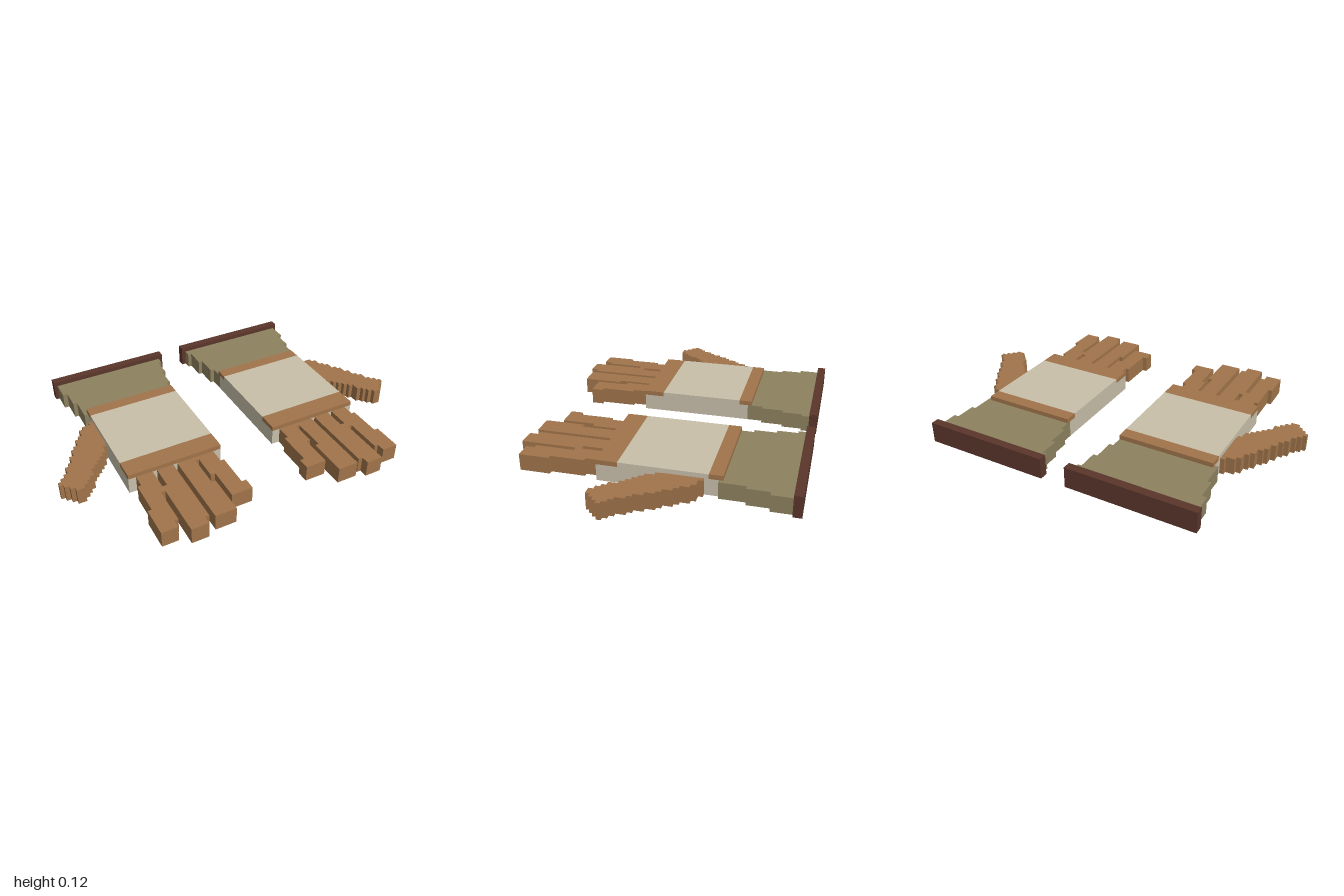
import * as THREE from 'three';

const mat = (name, color) => {
  const m = new THREE.MeshStandardMaterial({ color });
  m.name = name;
  return m;
};

export function createModel() {
  const leather = mat('brown leather', 0xa0744a);
  const cloth = mat('cream cloth', 0xc9bfaa);
  const canvas = mat('khaki canvas', 0x8d815e);
  const trim = mat('dark trim', 0x5a362b);
  const model = new THREE.Group();
  model.name = 'pairOfGloves';

  const LOW = 0.09, HIGH = 0.115;

  // Rows of [zStart, zEnd, xInner, xOuter] become one stepped slab.
  const slab = (rows, side, y0, y1) => {
    const inner = [], outer = [];
    for (const [z0, z1, a, b] of rows) {
      inner.push([a, z0], [a, z1]);
      outer.push([b, z0], [b, z1]);
    }
    const outline = [...inner, ...outer.reverse()];
    const shape = new THREE.Shape(outline.map(([x, z]) => new THREE.Vector2(side * x, -z)));
    const geo = new THREE.ExtrudeGeometry(shape, { depth: y1 - y0, bevelEnabled: false });
    return geo.rotateX(-Math.PI / 2).translate(0, y0, 0);
  };

  // Stepped fingers, from the palm to the tip
  const fingers = {
    littleFinger: [[0.28, 0.365, 0.205, 0.3], [0.365, 0.44, 0.185, 0.3],
      [0.44, 0.555, 0.185, 0.275], [0.555, 0.62, 0.16, 0.275]],
    ringFinger: [[0.28, 0.305, 0.3, 0.412], [0.305, 0.49, 0.32, 0.412], [0.49, 0.71, 0.298, 0.412]],
    middleFinger: [[0.28, 0.405, 0.435, 0.525], [0.405, 0.69, 0.435, 0.55], [0.69, 0.735, 0.458, 0.55]],
    indexFinger: [[0.28, 0.35, 0.55, 0.64], [0.35, 0.44, 0.55, 0.66], [0.44, 0.53, 0.574, 0.66],
      [0.53, 0.645, 0.574, 0.682], [0.645, 0.69, 0.595, 0.682]],
  };

  // Thumb: inner and outer edge of each narrow row
  const thumbEdges = [
    [0.68, 0.705], [0.68, 0.75], [0.68, 0.775], [0.68, 0.775], [0.68, 0.797], [0.68, 0.82], [0.68, 0.82],
    [0.68, 0.845], [0.68, 0.865], [0.685, 0.865], [0.705, 0.89], [0.708, 0.89], [0.73, 0.912], [0.752, 0.935],
    [0.775, 0.935], [0.797, 0.957], [0.82, 0.98], [0.82, 1.0], [0.845, 0.98], [0.865, 0.957], [0.89, 0.935],
  ];
  const step = 0.0238;
  const thumb = thumbEdges.map(([a, b], i) =>
    [-0.263 + i * step, -0.263 + (i + 1) * step, Math.max(a, 0.675), b]);

  // Cuff flares towards the wrist opening
  const cuff = [[-0.692, -0.65, 0.094, 0.75], [-0.65, -0.585, 0.115, 0.75], [-0.585, -0.54, 0.115, 0.724],
    [-0.54, -0.47, 0.138, 0.724], [-0.47, -0.42, 0.138, 0.702], [-0.42, -0.335, 0.16, 0.702]];

  for (const side of [1, -1]) {
    const glove = new THREE.Group();
    glove.name = side > 0 ? 'leftGlove' : 'rightGlove';
    const add = (name, rows, material, y0 = 0, y1 = LOW) => {
      const mesh = new THREE.Mesh(slab(rows, side, y0, y1), material);
      mesh.name = name;
      glove.add(mesh);
    };
    const palmRow = (z0, z1) => [[z0, z1, 0.16, 0.682]];

    // Cloth hand wrap with leather edges on its raised top
    add('handWrap', palmRow(-0.335, 0.281), cloth);
    add('wrapTop', palmRow(-0.285, 0.17), cloth, LOW, HIGH);
    add('knuckleBand', palmRow(0.17, 0.281), leather, LOW, HIGH);
    add('wristBand', palmRow(-0.355, -0.285), leather, LOW, HIGH);

    add('cuff', cuff, canvas);
    add('cuffTrim', [[-0.737, -0.692, 0.07, 0.77]], trim, 0, HIGH);
    add('thumb', thumb, leather);
    for (const name in fingers) add(name, fingers[name], leather);
    model.add(glove);
  }
  return model;
}
